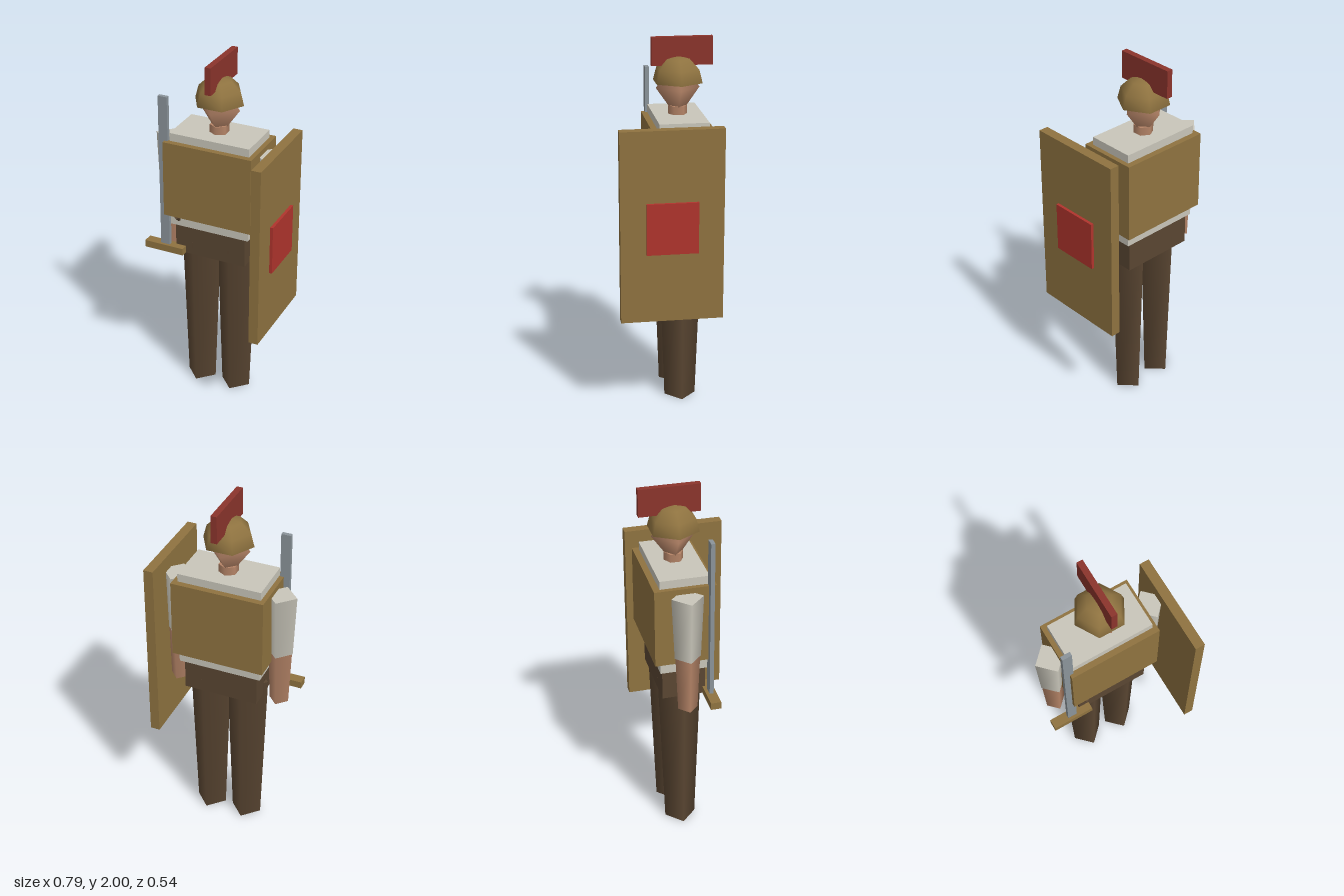
import * as THREE from 'three';

const mat = (name, color, side = THREE.FrontSide) => {
  const m = new THREE.MeshStandardMaterial({ color, side });
  m.name = name;
  return m;
};

export function createModel() {
  const group = new THREE.Group();
  const brass = mat('brass', 0x8f7340, THREE.DoubleSide);
  const cloth = mat('cloth', 0xc9c6ba);
  const brown = mat('brown', 0x5a4632);
  const skin = mat('skin', 0xb58467);
  const steel = mat('steel', 0x8b949a);
  const crestRed = mat('crest red', 0x8b342c);
  const emblemRed = mat('emblem red', 0xb0342d);

  const CX = -0.018, CZ = -0.088; // body axis

  const add = (name, geometry, material, x, y, z) => {
    const mesh = new THREE.Mesh(geometry, material);
    mesh.name = name;
    mesh.position.set(x, y, z);
    group.add(mesh);
    return mesh;
  };
  // Box given by its extents on each axis
  const box = (name, material, [x0, x1], [y0, y1], [z0, z1]) =>
    add(name, new THREE.BoxGeometry(x1 - x0, y1 - y0, z1 - z0), material,
      (x0 + x1) / 2, (y0 + y1) / 2, (z0 + z1) / 2);
  // Tapered limb segment between two heights
  const limb = (name, material, x, y0, y1, r0, r1, sides = 4) =>
    add(name, new THREE.CylinderGeometry(r1, r0, y1 - y0, sides), material, x, (y0 + y1) / 2, CZ);

  // Body
  box('tunic', cloth, [-0.248, 0.212], [1.045, 1.59], [-0.219, 0.043]);
  box('breastplate', brass, [-0.273, 0.237], [1.11, 1.545], [-0.252, 0.075]);
  box('hips', brown, [-0.225, 0.188], [0.873, 1.045], [-0.205, 0.029]);

  // Legs and arms
  for (const [side, s] of [['right', -1], ['left', 1]]) {
    limb(side + 'Leg', brown, CX + s * 0.108, 0, 0.945, 0.086, 0.119);
    const armX = CX + s * 0.291;
    limb(side + 'Sleeve', cloth, armX, 1.165, 1.515, 0.07, 0.085);
    limb(side + 'Forearm', skin, armX, 0.852, 1.165, 0.053, 0.066);
  }

  // Neck and head
  limb('neck', skin, CX, 1.56, 1.635, 0.052, 0.052, 6);
  add('head', new THREE.SphereGeometry(0.117, 4, 2), skin, CX, 1.73, CZ).scale.y = 1.42;

  // Helmet bowl, open below, with crest
  add('helmet', new THREE.SphereGeometry(0.14, 6, 3, 0, Math.PI * 2, 0, Math.PI / 2),
    brass, CX, 1.762, CZ);
  box('crest', crestRed, [-0.034, -0.001], [1.85, 2], [-0.272, 0.054]);

  // Sword held upright
  box('swordBlade', steel, [-0.306, -0.253], [0.9, 1.795], [0.032, 0.054]);
  box('swordGuard', brass, [-0.397, -0.165], [0.875, 0.915], [0.014, 0.07]);

  // Slanted scabbard, mostly tucked into the hip
  const from = new THREE.Vector3(-0.197, 1.112, 0.074);
  const to = new THREE.Vector3(-0.215, 0.96, -0.1);
  const scabbard = add('scabbard',
    new THREE.CylinderGeometry(0.012, 0.012, from.distanceTo(to), 6), brown, 0, 0, 0);
  scabbard.position.copy(from).lerp(to, 0.5);
  scabbard.quaternion.setFromUnitVectors(new THREE.Vector3(0, 1, 0), from.clone().sub(to).normalize());

  // Shield
  box('shield', brass, [0.325, 0.378], [0.57, 1.6], [-0.271, 0.27]);
  box('shieldEmblem', emblemRed, [0.378, 0.394], [0.945, 1.22], [-0.136, 0.135]);

  return group;
}
